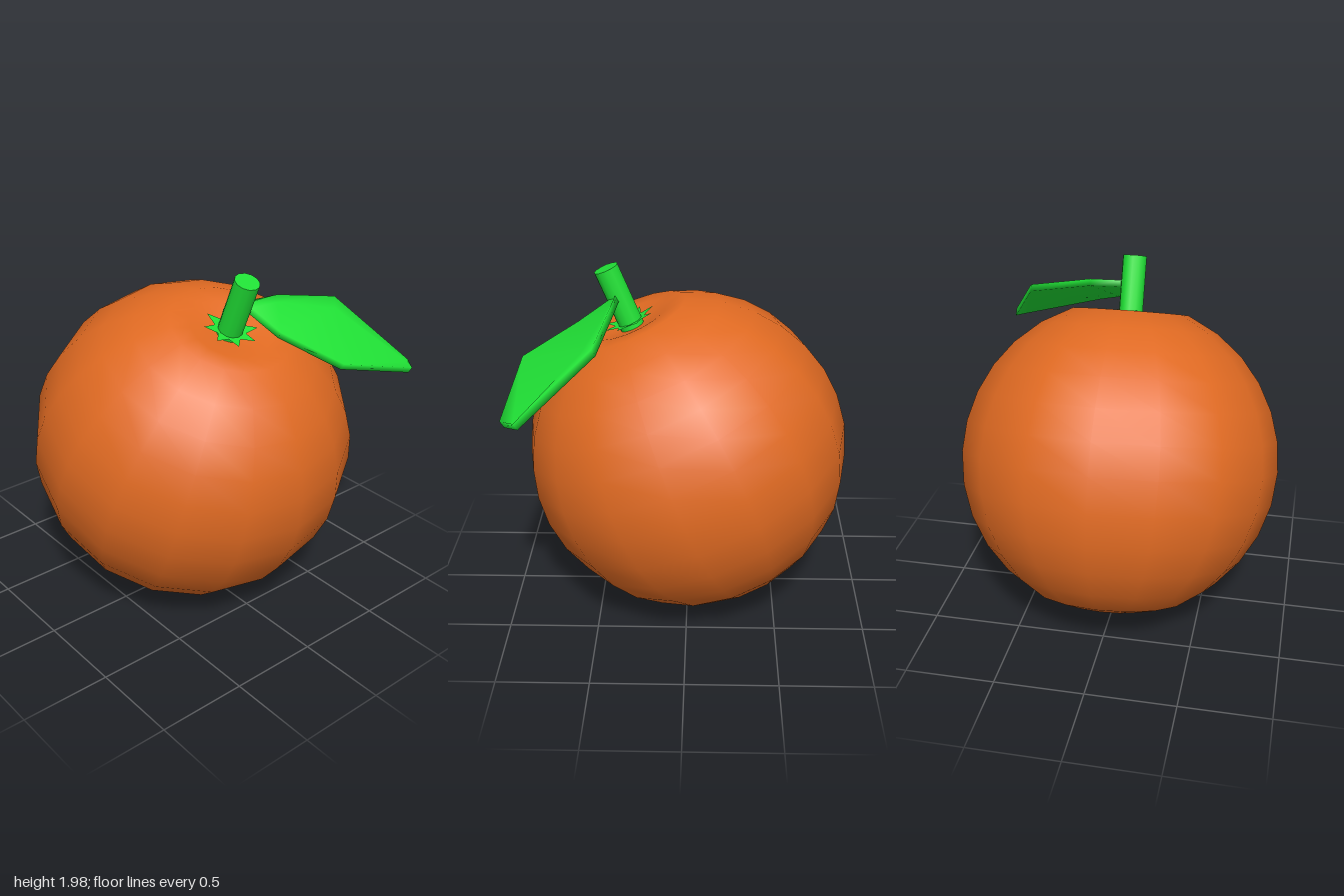
import * as THREE from 'three';

const paint = (color, side = THREE.FrontSide) => new THREE.MeshStandardMaterial({ color, side });

function add(parent, name, geometry, material) {
  const mesh = new THREE.Mesh(geometry, material);
  mesh.name = name;
  parent.add(mesh);
  return mesh;
}

// Round body with a shallow dimple at each pole
function bodyGeometry() {
  const R = 0.9;
  const points = [[0.001, -0.785], [0.15, -0.8], [0.29, -0.833]];
  for (const a of [29.5, 42, 54, 66, 78, 90, 101, 112, 123, 134, 146]) {
    const t = THREE.MathUtils.degToRad(a);
    points.push([R * Math.sin(t), -R * Math.cos(t)]);
  }
  points.push([0.33, 0.837], [0.22, 0.835], [0.11, 0.805], [0.001, 0.79]);
  return new THREE.LatheGeometry(points.map(([x, y]) => new THREE.Vector2(x, y)), 16);
}

// Eight-pointed star whose tips lift slightly
function calyxGeometry() {
  const geo = new THREE.CircleGeometry(1, 16).rotateX(-Math.PI / 2);
  const p = geo.attributes.position;
  for (let i = 1; i < p.count; i++) {
    const tip = i % 2 === 0;
    const r = tip ? 0.15 : 0.085;
    p.setXYZ(i, p.getX(i) * r, tip ? 0.025 : 0.012, p.getZ(i) * r);
  }
  geo.computeVertexNormals();
  return geo;
}

// Leaf slab: each section runs from its back edge to its front edge
function leafGeometry() {
  const sections = [
    [[0.05, 1.84, 0.385], [0.05, 1.81, 0.42]],
    [[0.25, 1.83, 0.4], [0.11, 1.71, 0.58]],
    [[0.62, 1.75, 0.46], [0.29, 1.58, 0.86]],
    [[0.83, 1.445, 0.83], [0.78, 1.435, 0.905]],
  ];
  const down = new THREE.Vector3(-0.06, -0.87, -0.49).multiplyScalar(0.04);
  const pos = [], index = [], n = 5;
  for (const [a, b] of sections) {
    const back = new THREE.Vector3(...a), front = new THREE.Vector3(...b);
    const inner = back.clone().lerp(front, 0.16).addScaledVector(down, 0.3);
    const loop = [back, inner, front, front.clone().add(down), back.clone().add(down)];
    loop.forEach((v) => pos.push(v.x, v.y, v.z));
  }
  for (let s = 0; s < sections.length - 1; s++) {
    for (let i = 0; i < n; i++) {
      const a = s * n + i, b = s * n + (i + 1) % n;
      index.push(a, b, a + n, b, b + n, a + n);
    }
  }
  // End caps
  const last = (sections.length - 1) * n;
  for (let i = 1; i < n - 1; i++) {
    index.push(0, i + 1, i, last, last + i, last + i + 1);
  }
  const geo = new THREE.BufferGeometry();
  geo.setAttribute('position', new THREE.Float32BufferAttribute(pos, 3));
  geo.setIndex(index);
  geo.computeVertexNormals();
  return geo;
}

export function createModel() {
  const model = new THREE.Group();
  model.name = 'orangeFruit';
  const green = paint(0x20e035);
  const thinGreen = paint(0x20e035, THREE.DoubleSide);

  // Fruit, calyx and stem share one axis leaning to the front
  const fruit = new THREE.Group();
  fruit.name = 'fruit';
  fruit.position.y = 0.905;
  fruit.rotation.x = 0.39;
  model.add(fruit);

  add(fruit, 'body', bodyGeometry(), paint(0xe06a22));
  add(fruit, 'calyx', calyxGeometry(), thinGreen).position.y = 0.82;
  add(fruit, 'stem', new THREE.CylinderGeometry(0.068, 0.068, 0.36, 12), green).position.y = 0.97;

  add(model, 'leaf', leafGeometry(), thinGreen);
  return model;
}
